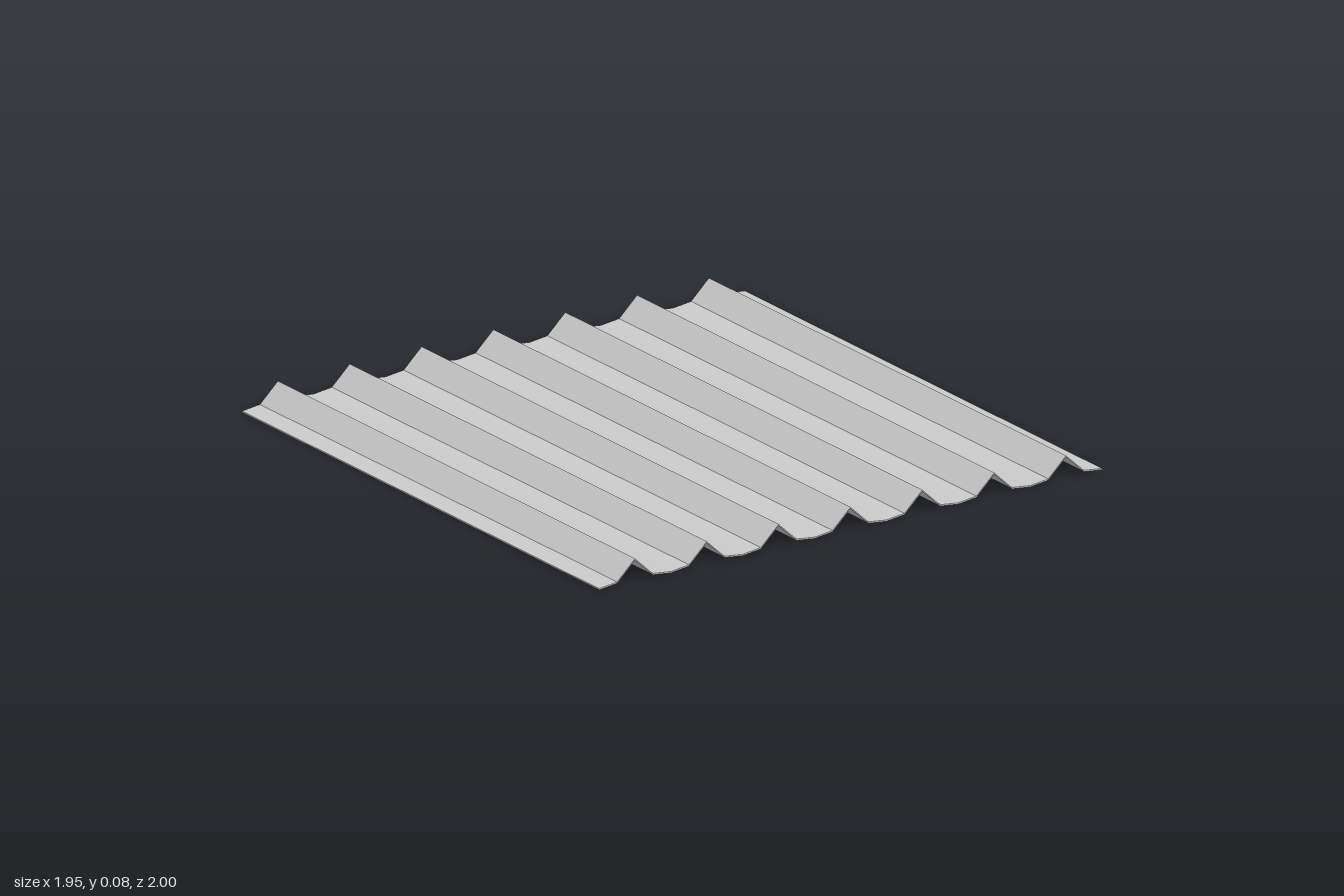
import * as THREE from 'three';

export function createModel() {
  const group = new THREE.Group();
  const ridges = 7, pitch = 0.279, length = 2, thickness = 0.004;

  // Upper profile: valley, foot, ridge, foot, repeated across the width
  const heights = [0.005, 0.013, 0.078, 0.013];
  const top = [];
  for (let i = 0; i <= ridges * 4; i++) {
    top.push(new THREE.Vector2((i / 4 - ridges / 2) * pitch, heights[i % 4]));
  }
  // Underside follows the same line, one sheet thickness lower
  const bottom = top.map((p) => new THREE.Vector2(p.x, Math.max(0, p.y - thickness - 0.001)));

  const profile = new THREE.Shape([...bottom, ...top.reverse()]);
  const geometry = new THREE.ExtrudeGeometry(profile, { depth: length, bevelEnabled: false });
  geometry.translate(0, 0, -length / 2);

  const sheet = new THREE.Mesh(
    geometry,
    new THREE.MeshStandardMaterial({ color: 0xcccccc, flatShading: true, side: THREE.DoubleSide })
  );
  sheet.name = 'corrugatedSheet';
  group.add(sheet);
  return group;
}
